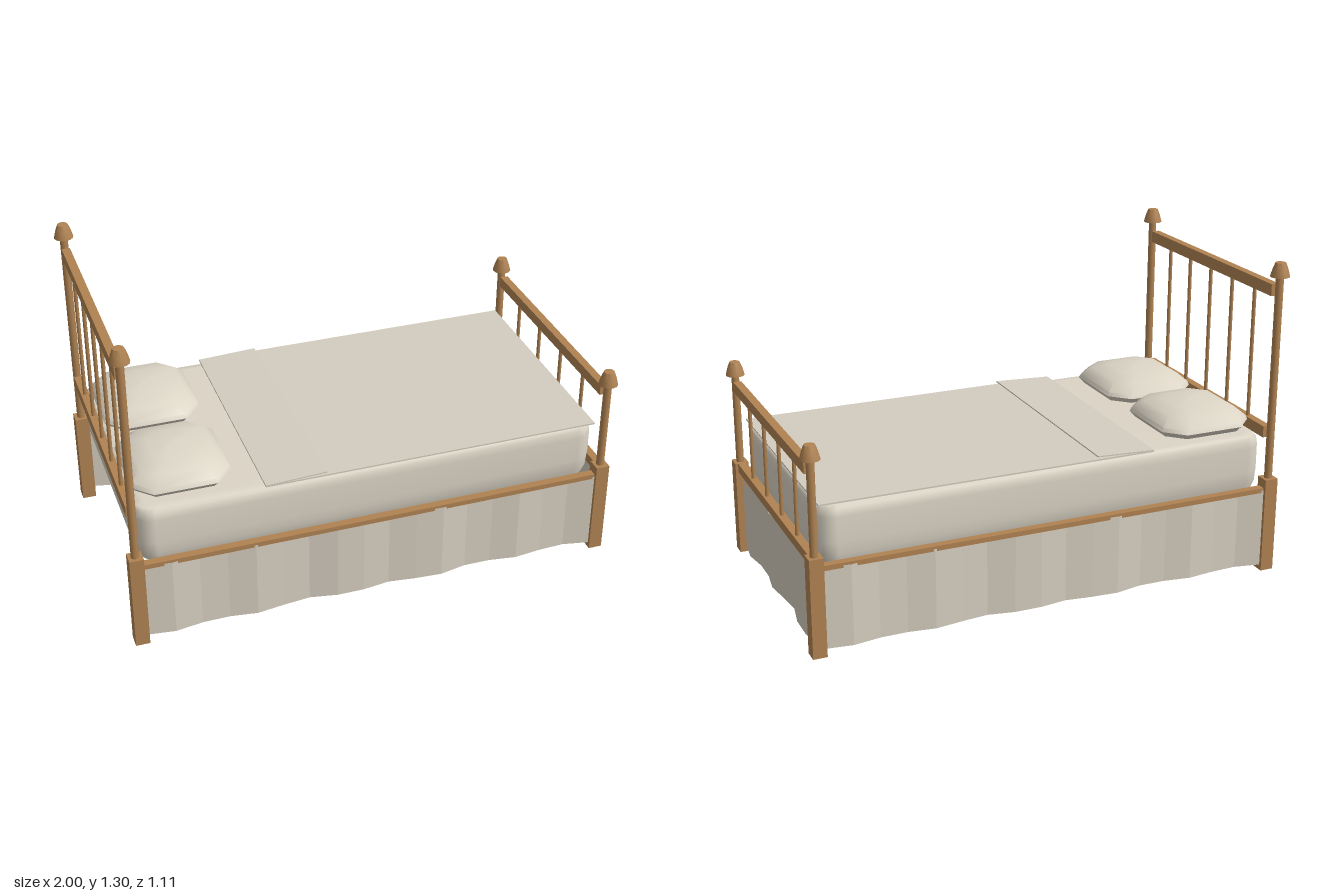
import * as THREE from 'three';
import { toCreasedNormals } from 'three/addons/utils/BufferGeometryUtils.js';

const mat = (name, color, side = THREE.FrontSide) =>
  Object.assign(new THREE.MeshStandardMaterial({ color, side }), { name });

const POST_X = 0.96, POST_Z = 0.516;

// Rounded rectangle outline, counter-clockwise seen from above
function outline(hx, hz, r, seg) {
  const pts = [];
  [[1, -1], [-1, -1], [-1, 1], [1, 1]].forEach(([sx, sz], q) => {
    for (let i = 0; i <= seg; i++) {
      const a = (q + i / seg) * Math.PI / 2;
      pts.push([sx * (hx - r) + r * Math.cos(a), sz * (hz - r) - r * Math.sin(a)]);
    }
  });
  return pts;
}

// Skin over rings [y, halfX, halfZ, cornerRadius], closed at the top
function loft(rings, seg) {
  const pos = [], index = [], n = 4 * (seg + 1);
  for (const [y, hx, hz, r] of rings) {
    for (const [x, z] of outline(hx, hz, r, seg)) pos.push(x, y, z);
  }
  const top = rings.length * n;
  pos.push(0, rings[rings.length - 1][0], 0);
  for (let k = 0; k < rings.length; k++) {
    for (let i = 0; i < n; i++) {
      const a = k * n + i, b = k * n + (i + 1) % n;
      if (k === rings.length - 1) index.push(a, b, top);
      else index.push(a, b, b + n, a, b + n, a + n);
    }
  }
  const g = new THREE.BufferGeometry();
  g.setAttribute('position', new THREE.Float32BufferAttribute(pos, 3));
  g.setIndex(index);
  g.computeVertexNormals();
  return g;
}

// Hanging cloth with flat pleats, facing +z
function pleats(length, height, count) {
  const g = new THREE.PlaneGeometry(length, height, count, 1);
  const p = g.attributes.position;
  for (let i = 0; i < p.count; i++) {
    const k = i % (count + 1);
    p.setZ(i, 0.012 * Math.sin(k * 1.9) + 0.004 * Math.sin(k * 0.8));
  }
  const flat = g.toNonIndexed();
  flat.computeVertexNormals();
  return flat;
}

export function createModel() {
  const model = new THREE.Group();
  model.name = 'bed';
  const wood = mat('wood', 0xb08352);
  const linen = mat('linen', 0xdcd5c6, THREE.DoubleSide);
  const cover = mat('cover', 0xd3cdbf);
  const skirtCloth = mat('skirtCloth', 0xd6cec0, THREE.DoubleSide);

  const add = (name, geometry, material, x, y, z, parent = model) => {
    const m = new THREE.Mesh(geometry, material);
    m.name = name;
    m.position.set(x, y, z);
    parent.add(m);
    return m;
  };

  // Finial: tapered cap with a wide base
  const finialGeo = toCreasedNormals(new THREE.LatheGeometry(
    [[0, 0], [0.039, 0], [0.031, 0.03], [0.021, 0.056], [0, 0.058]]
      .map(([x, y]) => new THREE.Vector2(x, y)), 12), 0.7);

  // Head and foot ends: legs, posts, finials, two rails and spindles
  const ends = [
    { name: 'headboard', x: -POST_X, postTop: 1.241, topRail: [1.156, 1.204], lowRail: [0.565, 0.612], count: 5, gap: 0.171 },
    { name: 'footboard', x: POST_X, postTop: 0.778, topRail: [0.713, 0.757], lowRail: [0.362, 0.4], count: 4, gap: 0.205 },
  ];
  for (const e of ends) {
    const g = new THREE.Group();
    g.name = e.name;
    model.add(g);
    for (const s of [-1, 1]) {
      const z = s * POST_Z, h = e.postTop - 0.4;
      add('leg', new THREE.BoxGeometry(0.056, 0.4, 0.058), wood, e.x, 0.2, z, g);
      add('post', new THREE.CylinderGeometry(0.016, 0.016, h, 12), wood, e.x, 0.4 + h / 2, z, g);
      add('finial', finialGeo, wood, e.x, e.postTop, z, g);
    }
    for (const [lo, hi] of [e.topRail, e.lowRail]) {
      add('rail', new THREE.BoxGeometry(0.033, hi - lo, 0.974), wood, e.x, (lo + hi) / 2, 0, g);
    }
    const lo = e.lowRail[1], h = e.topRail[0] - lo;
    for (let i = 0; i < e.count; i++) {
      add('spindle', new THREE.CylinderGeometry(0.0078, 0.0078, h, 8), wood,
        e.x, lo + h / 2, (i - (e.count - 1) / 2) * e.gap, g);
    }
  }

  // Side rails and pleated skirts
  for (const s of [-1, 1]) {
    add('sideRail', new THREE.BoxGeometry(1.87, 0.02, 0.033), wood, 0, 0.352, s * 0.514);
    const skirt = add('sideSkirt', pleats(1.87, 0.33, 17), skirtCloth, 0, 0.187, s * 0.52);
    if (s < 0) skirt.rotation.y = Math.PI;
  }
  add('footSkirt', pleats(0.974, 0.321, 9), skirtCloth, POST_X, 0.185, 0).rotation.y = Math.PI / 2;

  // Mattress: soft shell, open underneath
  add('mattress', loft([
    [0.34, 0.925, 0.483, 0.07],
    [0.38, 0.938, 0.496, 0.075],
    [0.43, 0.941, 0.499, 0.075],
    [0.53, 0.941, 0.499, 0.075],
    [0.562, 0.936, 0.494, 0.072],
    [0.576, 0.924, 0.482, 0.065],
    [0.578, 0.89, 0.45, 0.05],
  ], 4), linen, -0.004, 0, 0);

  // Bed cover with its folded-back top edge
  add('bedCover', new THREE.BoxGeometry(1.37, 0.006, 0.99), cover, 0.245, 0.586, 0);
  const fold = add('coverFold', new THREE.BoxGeometry(0.245, 0.005, 0.988), cover, -0.318, 0.594, 0);
  fold.rotation.z = 0.045;

  // Pillows: chamfered outline, domed top
  const pillowGeo = toCreasedNormals(loft([
    [0.586, 0.001, 0.001, 0.0005],
    [0.588, 0.178, 0.194, 0.065],
    [0.612, 0.197, 0.215, 0.075],
    [0.628, 0.19, 0.208, 0.072],
    [0.663, 0.152, 0.168, 0.06],
    [0.68, 0.09, 0.1, 0.04],
    [0.692, 0.02, 0.02, 0.01],
  ], 1), 0.75);
  for (const z of [-0.242, 0.234]) add('pillow', pillowGeo, linen, -0.735, 0, z);

  return model;
}
